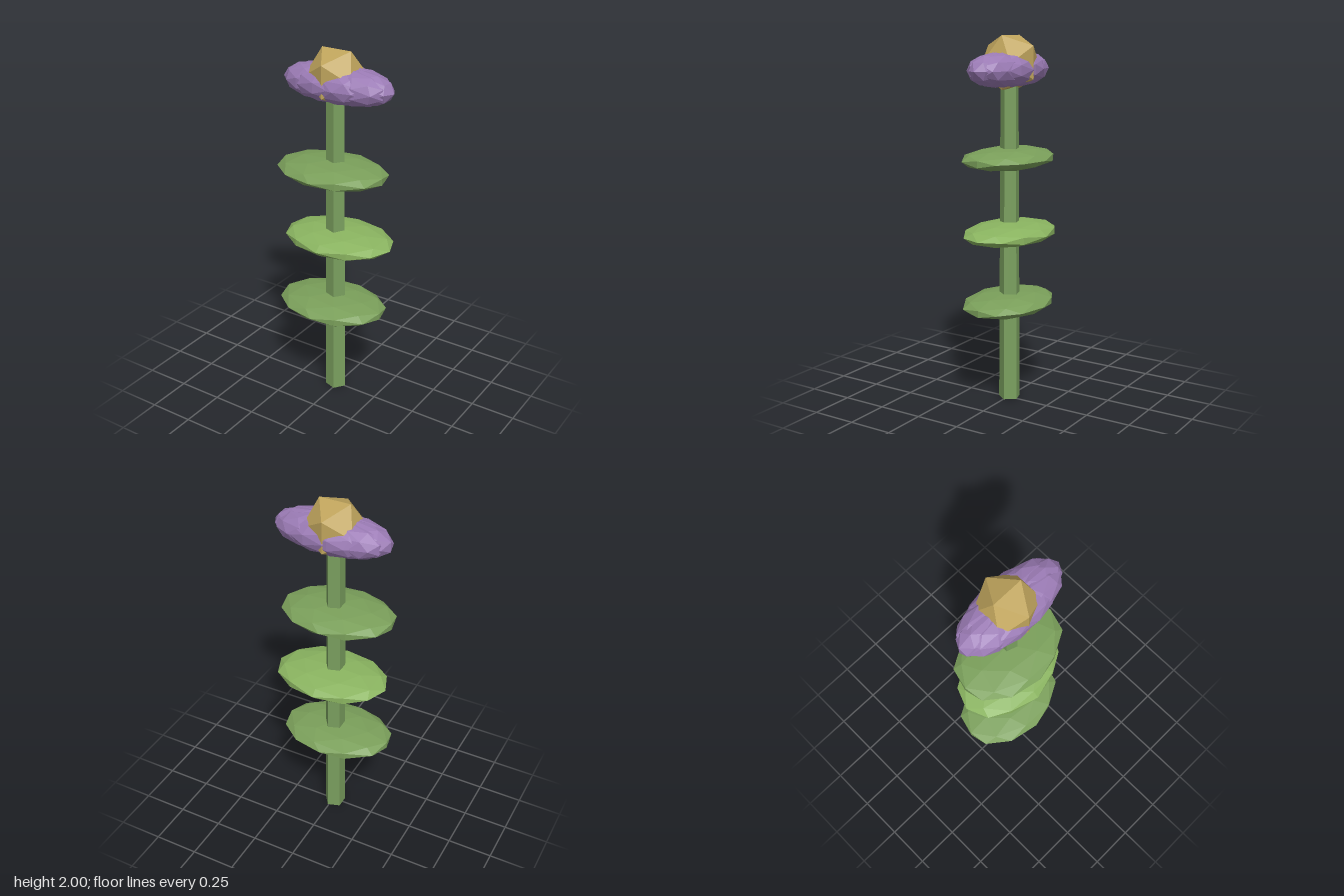
import * as THREE from 'three';

const mat = (color) => new THREE.MeshStandardMaterial({ color, flatShading: true, roughness: 0.9 });
const stemMat = mat(0x7a9f5e);
const leafMat = mat(0x7a9f5a);
const brightLeafMat = mat(0x8ab460);
const petalMat = mat(0x9b7bb5);
const goldMat = mat(0xbfa45c);

// Faceted ellipsoid: the facets are turned about y before the stretch
function blob(radii, turn, detail = 1) {
  return new THREE.IcosahedronGeometry(1, detail).rotateY(turn).scale(...radii);
}

export function createModel() {
  const group = new THREE.Group();
  const add = (parent, name, geometry, material, x, y, z) => {
    const mesh = new THREE.Mesh(geometry, material);
    mesh.name = name;
    mesh.position.set(x, y, z);
    parent.add(mesh);
  };

  // Five-sided tapering stem
  const height = 1.84;
  const stem = new THREE.CylinderGeometry(0.05, 0.061, height, 5, 1, false, Math.PI / 10);
  add(group, 'stem', stem, stemMat, -0.012, height / 2, -0.003);

  // Three flat leaf discs, the middle one turned and brighter
  const leafRadii = [0.32, 0.06, 0.228];
  const endTurn = Math.atan2(0.809, 0.5);
  for (let i = 0; i < 3; i++) {
    const middle = i === 1;
    add(group, 'leaf' + (i + 1), blob(leafRadii, middle ? 0 : endTurn),
      middle ? brightLeafMat : leafMat,
      middle ? 0 : -0.025, 0.55 + i * 0.4, middle ? -0.015 : 0.011);
  }

  // Flower head of overlapping faceted petals on an oval
  const flower = new THREE.Group();
  flower.name = 'flower';
  flower.position.set(0, 1.824, -0.006);
  group.add(flower);
  const count = 10;
  for (let i = 0; i < count; i++) {
    const a = (i / count) * Math.PI * 2;
    add(flower, 'petal' + (i + 1), blob([0.2, 0.09, 0.102], a * 1.3), petalMat,
      Math.cos(a) * 0.128, 0, Math.sin(a) * 0.048);
  }

  // Golden heart of the flower
  add(group, 'flowerCentre', blob([0.165, 0.165, 0.165], 0, 0), goldMat, -0.012, 1.86, -0.008);

  return group;
}
